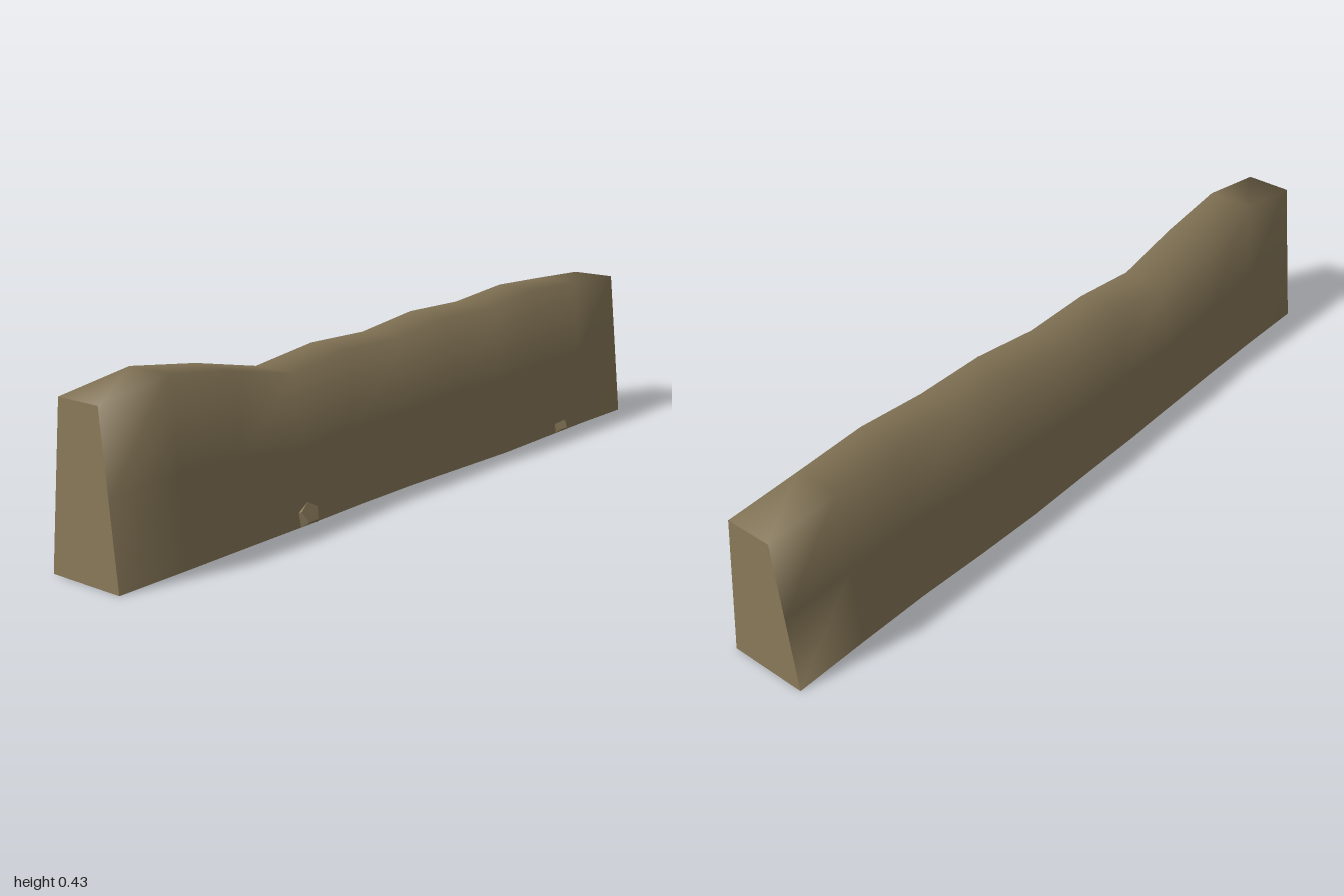
import * as THREE from 'three';

// Stations along z from -1 to 1: [height, left base x, right base x]
const STATIONS = [
  [0.404, -0.107, 0.104], [0.413, -0.106, 0.102], [0.42, -0.107, 0.106],
  [0.4, -0.115, 0.11], [0.403, -0.12, 0.103], [0.38, -0.117, 0.096],
  [0.385, -0.116, 0.096], [0.362, -0.112, 0.101], [0.405, -0.108, 0.102],
  [0.434, -0.106, 0.104], [0.404, -0.107, 0.104],
];
const ROWS = 6;

// Tapered section: up the negative-x side, over the top, down the other side
function section([h, xl, xr], k) {
  const z = -1 + 0.2 * k;
  const tl = xl * 0.58, tr = xr * 0.6;
  return [
    [xl, 0, z], [(xl + tl) / 2, h / 2, z], [tl, h, z],
    [tr, h, z], [(xr + tr) / 2, h / 2, z], [xr, 0, z],
  ];
}

function createModel() {
  const group = new THREE.Group();
  const earth = new THREE.MeshStandardMaterial({ color: 0x8b7b5b, side: THREE.DoubleSide });
  const add = (name, geometry) => {
    const mesh = new THREE.Mesh(geometry, earth);
    mesh.name = name;
    group.add(mesh);
  };

  // Wall skin, open underneath
  const sections = STATIONS.map(section);
  const skinIndex = [];
  for (let k = 0; k < sections.length - 1; k++) {
    for (let i = 0; i < ROWS - 1; i++) {
      const a = k * ROWS + i, b = a + 1, d = a + ROWS, c = d + 1;
      skinIndex.push(a, d, c, a, c, b);
    }
  }
  // Fans closing the two ends
  const capIndex = [];
  const last = (sections.length - 1) * ROWS;
  for (let i = 1; i < ROWS - 1; i++) {
    capIndex.push(0, i, i + 1, last, last + i + 1, last + i);
  }
  const skin = new THREE.BufferGeometry();
  skin.setAttribute('position', new THREE.Float32BufferAttribute(sections.flat(2), 3));
  // Normals are rounded into the ends, then the ends are made separate flat faces
  skin.setIndex([...skinIndex, ...capIndex]);
  skin.computeVertexNormals();
  const caps = skin.clone().setIndex(capIndex).toNonIndexed();
  caps.computeVertexNormals();
  skin.setIndex(skinIndex);
  add('wall', skin);
  add('wallEnds', caps);

  // Faceted stones half buried at the foot of the wall
  const rocks = [
    { z: 0.4, y: 0.012, size: [0.036, 0.046, 0.05] },
    { z: -0.68, y: 0.01, size: [0.036, 0.028, 0.046] },
  ];
  for (const { z, y, size } of rocks) {
    const rock = new THREE.DodecahedronGeometry(1, 0);
    rock.scale(...size).translate(0.082, y, z);
    const p = rock.attributes.position;
    for (let i = 0; i < p.count; i++) p.setY(i, Math.max(0, p.getY(i)));
    rock.computeVertexNormals();
    add('footStone', rock);
  }
  return group;
}

export { createModel };
